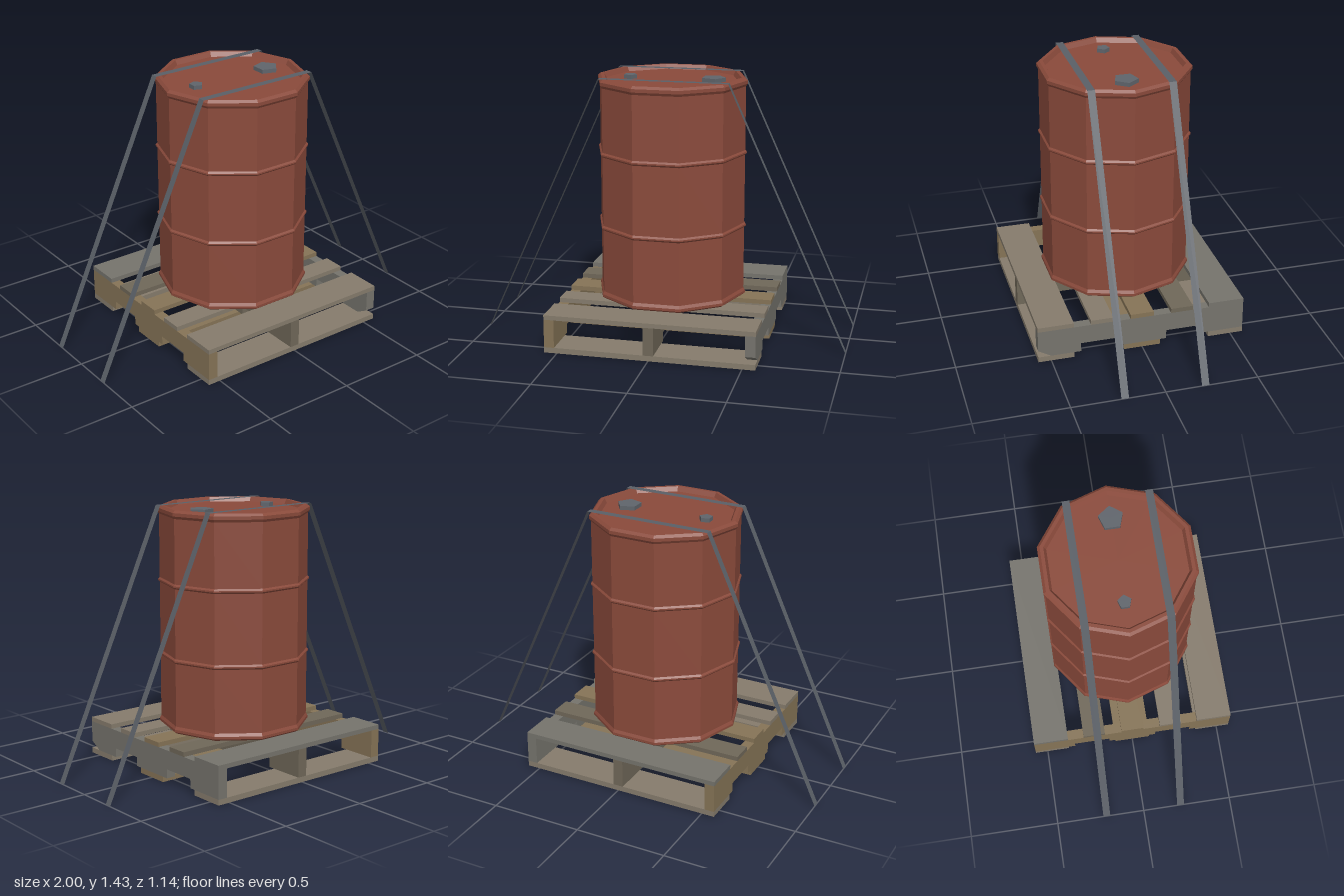
import * as THREE from 'three';

const mat = (color, side = THREE.FrontSide) =>
  new THREE.MeshStandardMaterial({ color, side, flatShading: true });

const RED = mat(0x8a4a3b);
const STEEL = mat(0x5f646b);
const STRAP = mat(0x5a5f66, THREE.DoubleSide);
const GREY = mat(0x75736c);
const TAUPE = mat(0x857b6c);
const TAN = mat(0x857356);
const DARK = mat(0x6f6758);

function add(parent, name, geometry, material, x = 0, y = 0, z = 0) {
  const mesh = new THREE.Mesh(geometry, material);
  mesh.name = name;
  mesh.position.set(x, y, z);
  parent.add(mesh);
  return mesh;
}

// Side rail with two fork notches, optionally with its lower front corner chipped off
function stringerGeometry(chipped) {
  const lo = 0.03, hi = 0.185, notch = 0.08, end = 0.57;
  const points = [
    [-end, lo], [-0.337, lo], [-0.337, notch], [-0.135, notch], [-0.135, lo],
    [0.135, lo], [0.135, notch], [0.337, notch], [0.337, lo],
    ...(chipped ? [[0.5, lo], [end, 0.07]] : [[end, lo]]),
    [end, hi], [-end, hi],
  ].map(([z, y]) => new THREE.Vector2(z, y));
  const width = 0.055;
  return new THREE.ExtrudeGeometry(new THREE.Shape(points), { depth: width, bevelEnabled: false })
    .translate(0, 0, -width / 2)
    .rotateY(-Math.PI / 2);
}

function createPallet() {
  const pallet = new THREE.Group();
  pallet.name = 'pallet';
  // Top boards: centre z, depth, wood
  [[-0.472, 0.196, GREY], [-0.222, 0.123, DARK], [0, 0.128, TAN], [0.22, 0.123, TAUPE], [0.472, 0.196, TAUPE]]
    .forEach(([z, depth, wood]) =>
      add(pallet, 'topBoard', new THREE.BoxGeometry(1.14, 0.025, depth), wood, 0, 0.1975, z));
  // Bottom boards
  [[-0.472, 0.196, TAUPE], [0, 0.2, TAN], [0.472, 0.196, TAUPE]]
    .forEach(([z, depth, wood]) =>
      add(pallet, 'bottomBoard', new THREE.BoxGeometry(1.14, 0.03, depth), wood, 0, 0.015, z));
  // Stringers
  add(pallet, 'rightStringer', stringerGeometry(false), TAN, -0.5425);
  add(pallet, 'centreStringer', stringerGeometry(false), DARK);
  add(pallet, 'leftStringer', stringerGeometry(true), GREY, 0.5425);
  return pallet;
}

function createBarrel() {
  const barrel = new THREE.Group();
  barrel.name = 'barrel';
  const r = 0.404;
  const band = (y) => [[r, y - 0.013], [0.413, y - 0.004], [0.413, y + 0.004], [r, y + 0.013]];
  // Ten-sided shell with rolled ends, two hoops and a recessed lid
  const profile = [
    [0, 0.212], [0.4, 0.212], [0.413, 0.222], [0.413, 0.236], [r, 0.252],
    ...band(0.613), ...band(1.018),
    [r, 1.378], [0.413, 1.392], [0.413, 1.41], [0.398, 1.423], [0.379, 1.423],
    [0.365, 1.398], [0, 1.398],
  ].map(([x, y]) => new THREE.Vector2(x, y));
  add(barrel, 'drumShell', new THREE.LatheGeometry(profile, 10, Math.PI / 2), RED);
  // Five-sided bungs on the lid
  const bung = (radius) => new THREE.CylinderGeometry(radius, radius, 0.024, 5, 1, false, Math.PI / 2);
  add(barrel, 'largeBung', bung(0.067), STEEL, 0.227, 1.408, 0);
  add(barrel, 'smallBung', bung(0.037), STEEL, -0.231, 1.408, 0);
  return barrel;
}

// Flat ribbon running from the ground over the barrel and down again
function strapGeometry() {
  const path = [[-1, 0], [-0.35, 1.426], [0.35, 1.426], [1, 0]];
  const geometry = new THREE.PlaneGeometry(2, 0.04, 3, 1).rotateX(-Math.PI / 2);
  const pos = geometry.attributes.position;
  for (let i = 0; i < pos.count; i++) {
    const [x, y] = path[i % 4];
    pos.setXYZ(i, x, y, pos.getZ(i));
  }
  geometry.computeVertexNormals();
  return geometry;
}

export function createModel() {
  const model = new THREE.Group();
  model.name = 'strappedBarrelOnPallet';
  model.add(createPallet(), createBarrel());
  for (const side of [-1, 1]) {
    add(model, side > 0 ? 'frontStrap' : 'backStrap', strapGeometry(), STRAP, 0, 0, side * 0.215);
  }
  return model;
}
